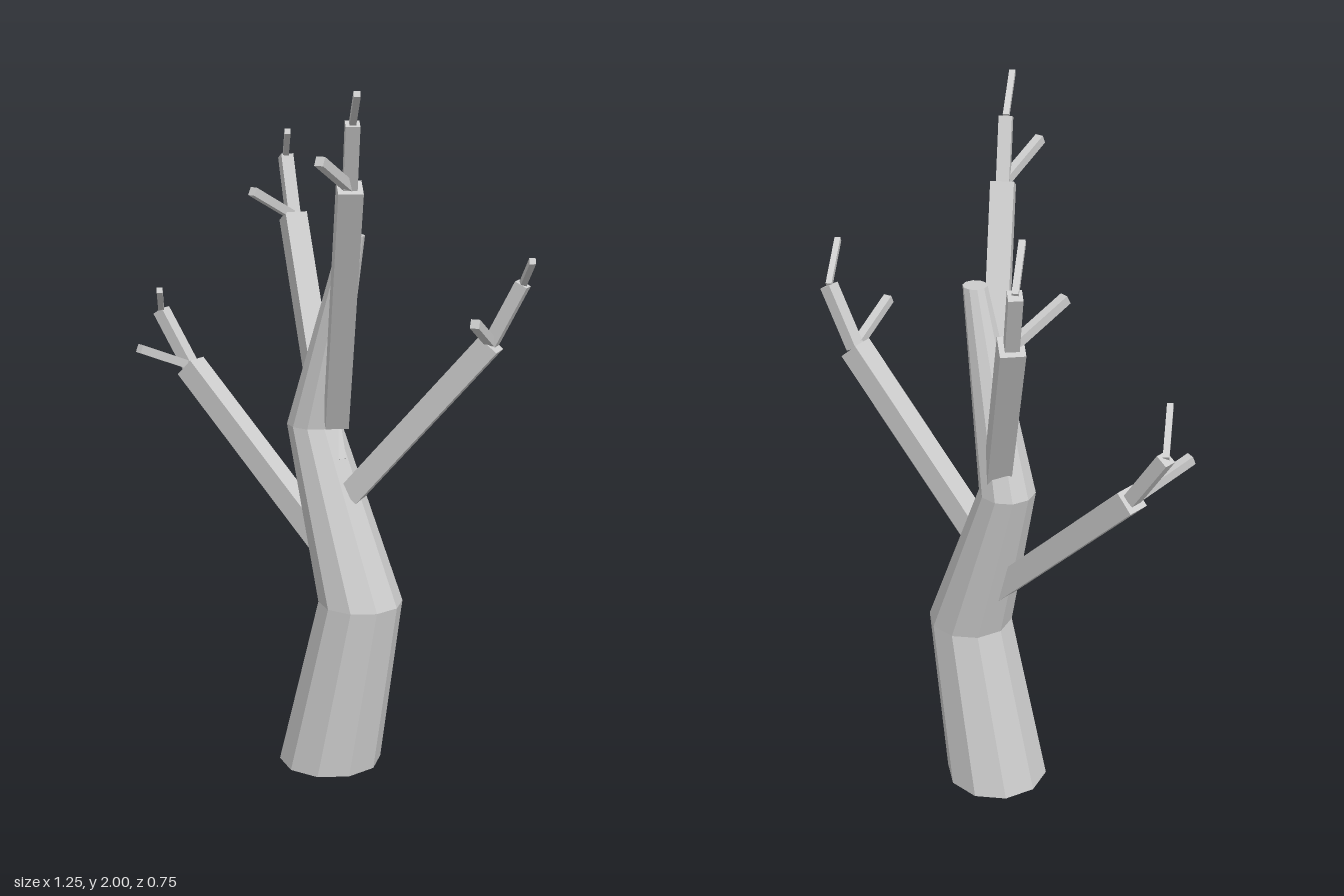
import * as THREE from 'three';

const bark = new THREE.MeshStandardMaterial({ color: 0xcccccc, flatShading: true });
bark.name = 'paleBark';

// Square beam running from point a to point b, with level side edges
function beam(name, a, b, width) {
  const start = new THREE.Vector3(...a);
  const end = new THREE.Vector3(...b);
  const mesh = new THREE.Mesh(new THREE.BoxGeometry(width, width, start.distanceTo(end)), bark);
  mesh.name = name;
  mesh.position.copy(start).add(end).multiplyScalar(0.5);
  mesh.lookAt(end);
  return mesh;
}

// Ten-sided crooked trunk: cylinder rows moved onto the given rings
function trunk() {
  // rings from top to bottom: x, y, z, radius
  const rings = [
    [0.058, 1.57, -0.082, 0.034],
    [-0.087, 1.01, -0.111, 0.079],
    [0.09, 0.51, -0.082, 0.122],
    [-0.01, 0, -0.078, 0.15],
  ];
  const geometry = new THREE.CylinderGeometry(1, 1, 3, 10, 3, false, Math.PI / 2);
  const pos = geometry.attributes.position;
  for (let i = 0; i < pos.count; i++) {
    const [x, y, z, r] = rings[Math.round(1.5 - pos.getY(i))];
    pos.setXYZ(i, x + pos.getX(i) * r, y, z + pos.getZ(i) * r);
  }
  geometry.computeVertexNormals();
  const mesh = new THREE.Mesh(geometry, bark);
  mesh.name = 'trunk';
  return mesh;
}

export function createModel() {
  const model = new THREE.Group();
  model.name = 'bareTree';
  model.add(trunk());

  // Each limb: branch start, branch end, end of the upper stub, end of the side twig
  const limbs = [
    ['rightLimb', [0, 0.63, -0.085], [-0.508, 1.135, -0.085], [-0.613, 1.292, -0.085], [-0.565, 1.21, 0.085]],
    ['leftLimb', [0.05, 0.825, -0.095], [0.447, 1.295, -0.172], [0.532, 1.464, -0.185], [0.487, 1.38, 0]],
    ['backLimb', [-0.01, 0.91, -0.085], [-0.285, 1.573, -0.304], [-0.343, 1.742, -0.353], [-0.315, 1.66, -0.138]],
    ['frontLimb', [0.01, 1.035, -0.075], [0.222, 1.742, 0.2], [0.263, 1.91, 0.255], [0.237, 1.825, 0.368]],
  ];
  for (const [name, start, fork, tip, side] of limbs) {
    const limb = new THREE.Group();
    limb.name = name;
    // the thin end twigs all lean the same way
    const twigEnd = [tip[0] + 0.082, tip[1] + 0.084, tip[2] + 0.113];
    limb.add(
      beam('branch', start, fork, 0.066),
      beam('stub', fork, tip, 0.037),
      beam('sideTwig', fork, side, 0.025),
      beam('endTwig', tip, twigEnd, 0.017),
    );
    model.add(limb);
  }
  return model;
}
